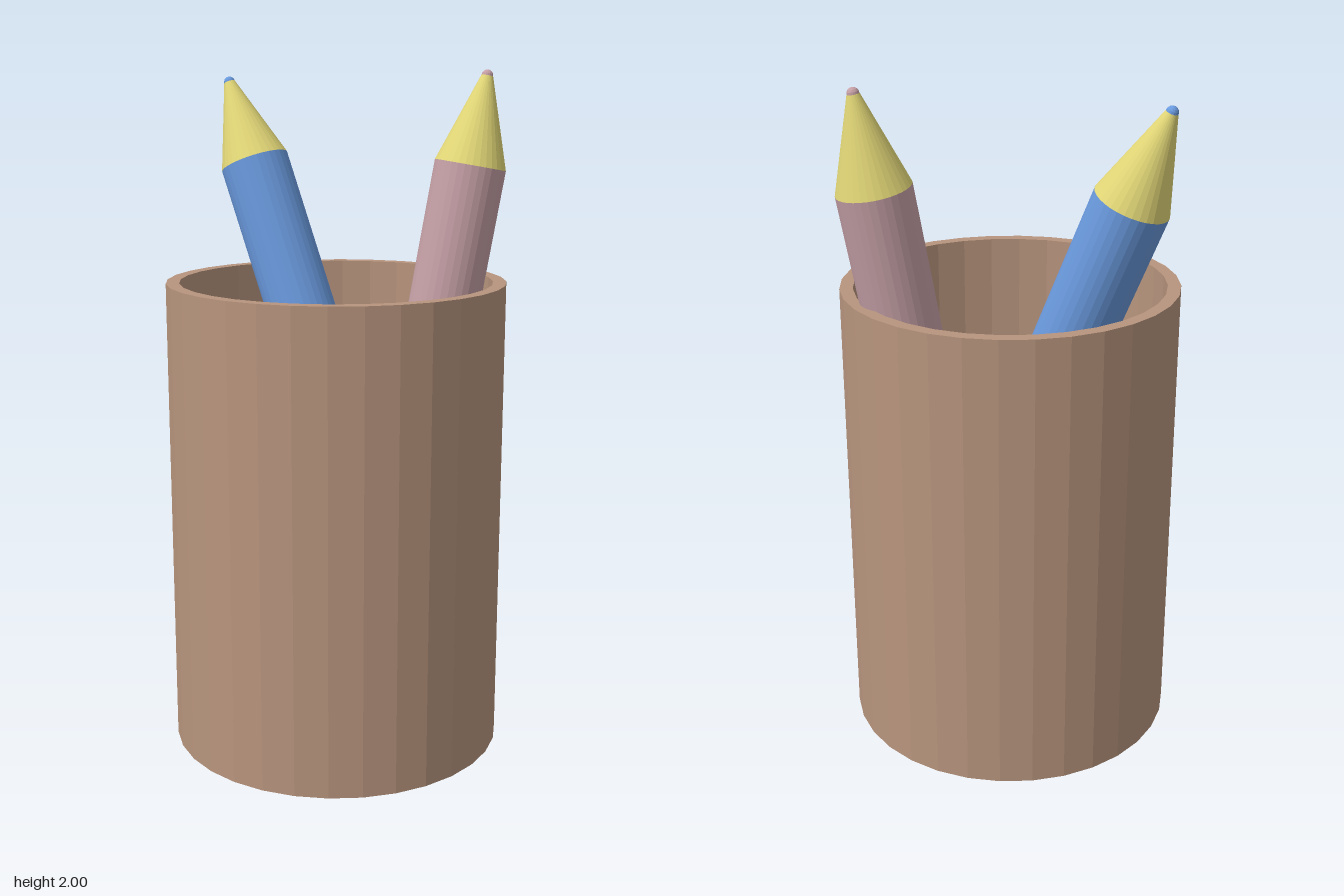
import * as THREE from 'three';

const SIDES = 32;
const material = (color) => new THREE.MeshStandardMaterial({ color, flatShading: true });

function addMesh(parent, name, geometry, mat) {
  const mesh = new THREE.Mesh(geometry, mat);
  mesh.name = name;
  parent.add(mesh);
  return mesh;
}

// Pencil running from the centre of its flat end to its point
function createPencil(name, color, end, point) {
  const radius = 0.105, tipRadius = 0.017, coneLength = 0.275;
  const axis = point.clone().sub(end);
  const length = axis.length();
  const shaftLength = length - coneLength;
  const woodLength = coneLength - tipRadius;
  const paint = material(color);

  const pencil = new THREE.Group();
  pencil.name = name;
  addMesh(pencil, 'shaft', new THREE.CylinderGeometry(radius, radius, shaftLength, SIDES), paint)
    .position.y = shaftLength / 2;
  addMesh(pencil, 'sharpenedWood',
    new THREE.CylinderGeometry(tipRadius, radius, woodLength, SIDES), material(0xe2d777))
    .position.y = shaftLength + woodLength / 2;
  addMesh(pencil, 'lead', new THREE.SphereGeometry(tipRadius, 16, 8), paint)
    .position.y = length - tipRadius;

  pencil.position.copy(end);
  pencil.quaternion.setFromUnitVectors(new THREE.Vector3(0, 1, 0), axis.normalize());
  return pencil;
}

export function createModel() {
  const model = new THREE.Group();
  model.name = 'pencilHolder';

  // Cup: closed bottom, outer wall, flat rim, inner wall and floor
  const bottom = 0.035, top = 1.41, floor = 0.1, outer = 0.488, inner = 0.45;
  const profile = [[0, bottom], [outer, bottom], [outer, top], [inner, top], [inner, floor], [0, floor]]
    .map(([r, y]) => new THREE.Vector2(r, y));
  addMesh(model, 'cup', new THREE.LatheGeometry(profile, SIDES), material(0xb8957e))
    .position.set(-0.015, 0, 0.025);

  // Two leaning pencils
  model.add(createPencil('pinkPencil', 0xc5a0a6,
    new THREE.Vector3(0.087, 0.019, 0.013), new THREE.Vector3(0.445, 2.0, 0.043)));
  model.add(createPencil('bluePencil', 0x6a9ade,
    new THREE.Vector3(0.23, 0.117, 0.145), new THREE.Vector3(-0.181, 1.98, -0.498)));

  return model;
}
